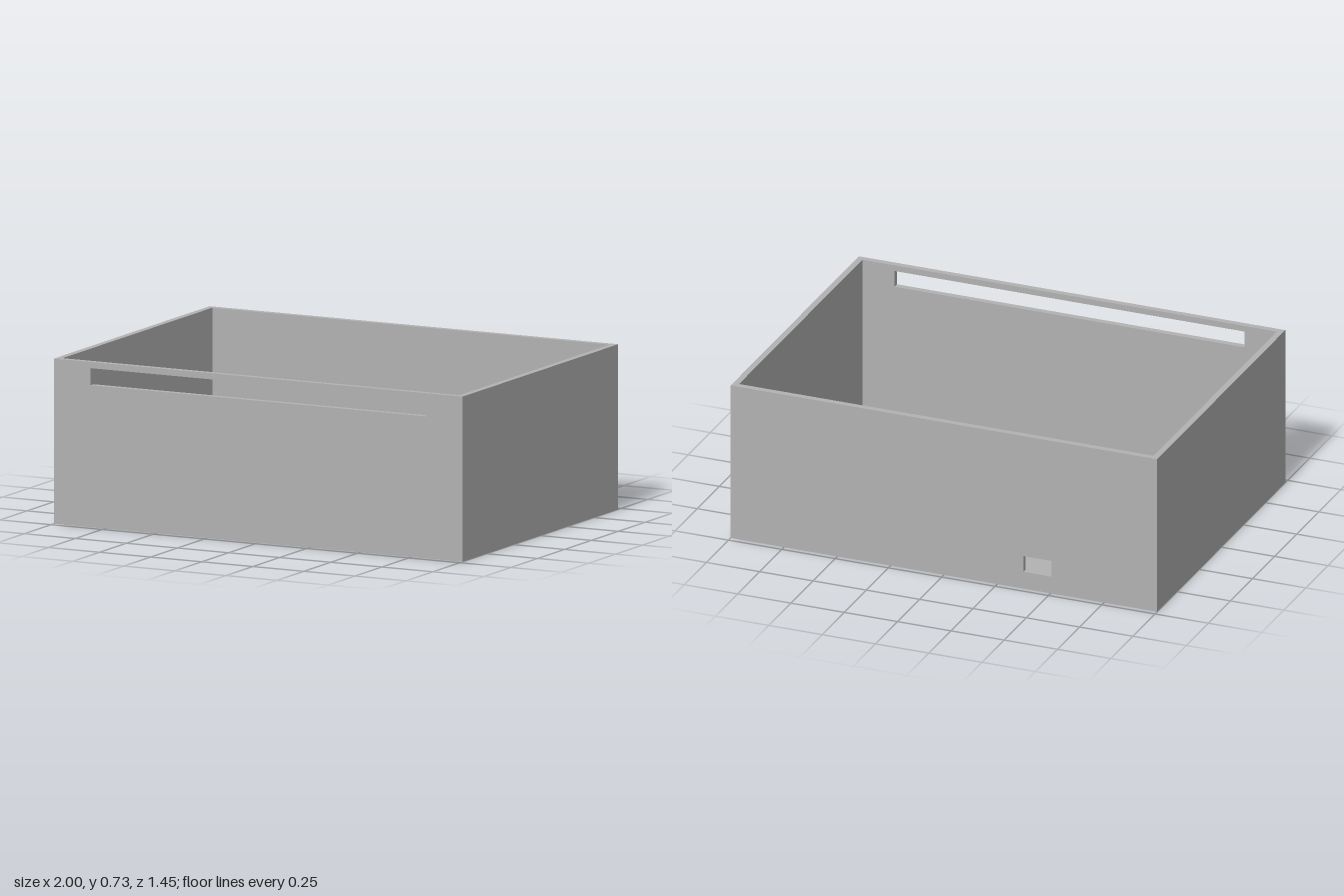
import * as THREE from 'three';

const W = 2, H = 0.727, D = 1.45, T = 0.028; // outer size and wall thickness

export function createModel() {
  const model = new THREE.Group();
  model.name = 'enclosure';
  const grey = new THREE.MeshStandardMaterial({ color: 0xb2b2b2 });
  grey.name = 'grey plastic';

  const add = (name, geometry, x, y, z, parent = model) => {
    const mesh = new THREE.Mesh(geometry, grey);
    mesh.name = name;
    mesh.position.set(x, y, z);
    parent.add(mesh);
    return mesh;
  };

  // Full-width wall with one rectangular opening
  const wallWithOpening = (x0, x1, y0, y1) => {
    const shape = new THREE.Shape([
      new THREE.Vector2(-W / 2, 0), new THREE.Vector2(W / 2, 0),
      new THREE.Vector2(W / 2, H), new THREE.Vector2(-W / 2, H),
    ]);
    shape.holes.push(new THREE.Path([
      new THREE.Vector2(x0, y0), new THREE.Vector2(x0, y1),
      new THREE.Vector2(x1, y1), new THREE.Vector2(x1, y0),
    ]));
    return new THREE.ExtrudeGeometry(shape, { depth: T, bevelEnabled: false });
  };

  // Front wall with long slot, back wall with connector port
  add('frontWall', wallWithOpening(-0.82, 0.82, 0.625, 0.7), 0, 0, D / 2 - T);
  add('backWall', wallWithOpening(-0.505, -0.372, 0.08, 0.155), 0, 0, -D / 2);

  // Side walls and floor fit between the front and back walls
  const inner = D - 2 * T;
  for (const [name, s] of [['leftWall', 1], ['rightWall', -1]]) {
    add(name, new THREE.BoxGeometry(T, H, inner), s * (W - T) / 2, H / 2, 0);
  }
  add('floor', new THREE.BoxGeometry(W - 2 * T, T, inner), 0, T / 2, 0);

  // Stepped board mounts: a wide base with a locating pin
  const base = new THREE.CylinderGeometry(0.027, 0.027, 0.028, 32);
  const pin = new THREE.CylinderGeometry(0.012, 0.012, 0.026, 24);
  for (const x of [-0.855, 0.016]) {
    for (const z of [-0.62, -0.057]) {
      const mount = new THREE.Group();
      mount.name = 'boardMount';
      mount.position.set(x, T, z);
      add('mountBase', base, 0, 0.014, 0, mount);
      add('mountPin', pin, 0, 0.041, 0, mount);
      model.add(mount);
    }
  }
  return model;
}
